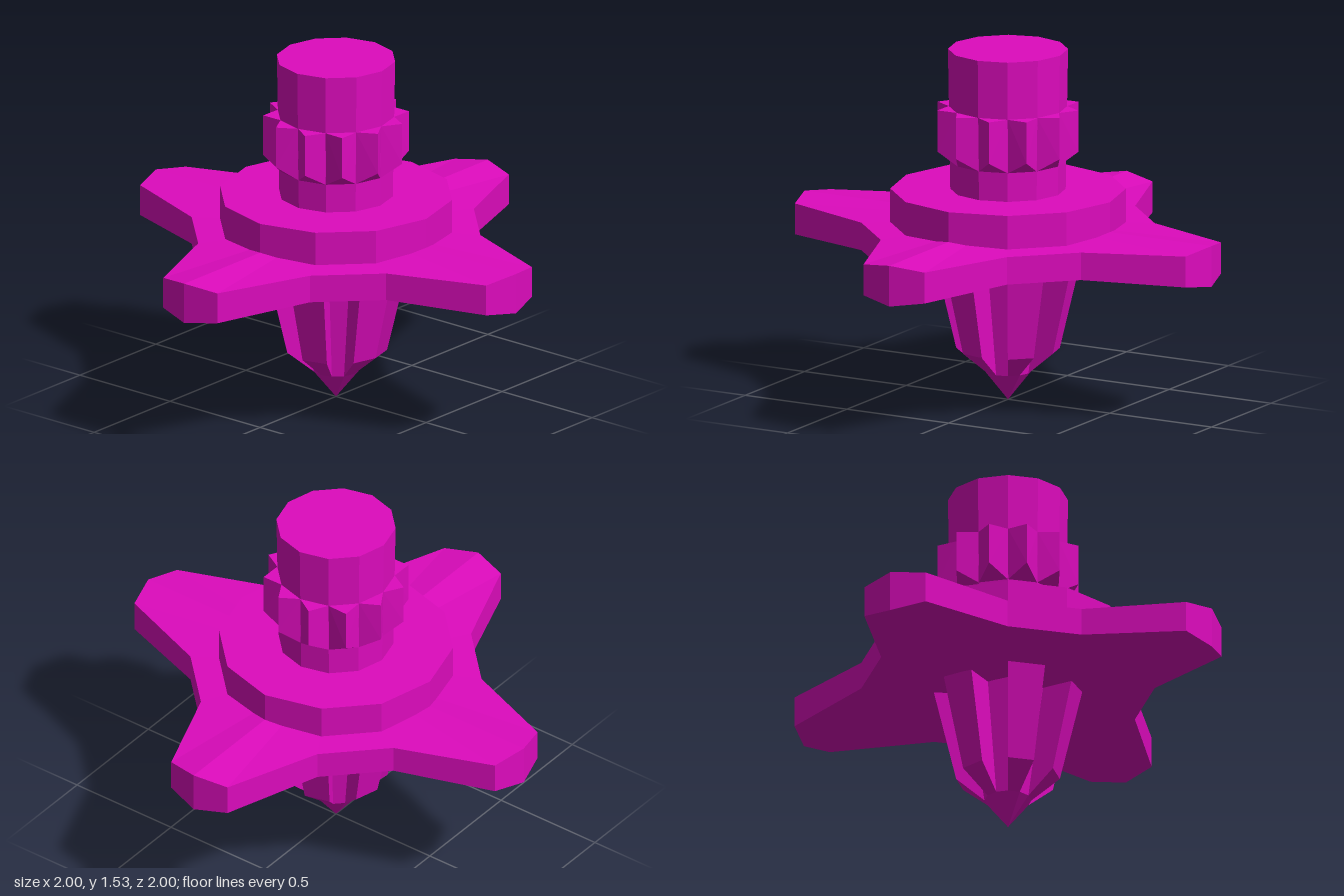
import * as THREE from 'three';
import { ConvexGeometry } from 'three/addons/geometries/ConvexGeometry.js';

const material = new THREE.MeshStandardMaterial({ color: 0xdd0bbd, flatShading: true });

// Point from an angle in degrees (0 = +z, 90 = +x), radius and height
function polar(deg, r, y) {
  const a = THREE.MathUtils.degToRad(deg);
  return new THREE.Vector3(r * Math.sin(a), y, r * Math.cos(a));
}

function addMesh(parent, name, geometry) {
  const mesh = new THREE.Mesh(geometry, material);
  mesh.name = name;
  parent.add(mesh);
  return mesh;
}

// Twelve-sided drum between two heights
function addDrum(parent, name, y0, y1, rBottom, rTop) {
  const drum = addMesh(parent, name, new THREE.CylinderGeometry(rTop, rBottom, y1 - y0, 12));
  drum.position.y = (y0 + y1) / 2;
}

// Four-armed plate: peaked rim loops joined to a centre point above and below
function plateGeometry() {
  // One quarter of the outline: x, z, top y, bottom y
  const quarter = [
    [0, 1, 0.79, 0.612], [0.15, 0.96, 0.77, 0.635], [0.31, 0.54, 0.77, 0.65],
    [0.54, 0.31, 0.77, 0.65], [0.96, 0.15, 0.77, 0.635],
  ];
  const top = [], bottom = [];
  for (let k = 0; k < 4; k++) {
    const c = [1, 0, -1, 0][k], s = [0, 1, 0, -1][k];
    for (const [x, z, yt, yb] of quarter) {
      const px = x * c + z * s, pz = z * c - x * s;
      top.push([px, yt, pz]);
      bottom.push([px, yb, pz]);
    }
  }
  const positions = [];
  const tri = (...corners) => corners.forEach((p) => positions.push(...p));
  const n = top.length;
  for (let i = 0; i < n; i++) {
    const j = (i + 1) % n;
    tri([0, 0.79, 0], top[i], top[j]);
    tri([0, 0.612, 0], bottom[j], bottom[i]);
    tri(bottom[i], bottom[j], top[j]);
    tri(bottom[i], top[j], top[i]);
  }
  const geometry = new THREE.BufferGeometry();
  geometry.setAttribute('position', new THREE.Float32BufferAttribute(positions, 3));
  geometry.computeVertexNormals();
  return geometry;
}

export function createModel() {
  const model = new THREE.Group();
  model.name = 'spinningTop';

  // Plate, disc and handle
  addMesh(model, 'armPlate', plateGeometry());
  addDrum(model, 'disc', 0.77, 0.92, 0.5, 0.5);
  addDrum(model, 'handle', 0.92, 1.53, 0.245, 0.255);

  // Toothed grip ring around the handle
  const gripRing = new THREE.Group();
  gripRing.name = 'gripRing';
  model.add(gripRing);
  for (let a = 0; a < 360; a += 30) {
    addMesh(gripRing, 'gripTooth', new ConvexGeometry([
      polar(a, 0.251, 1.28), polar(a + 30, 0.251, 1.28), polar(a + 15, 0.31, 1.28),
      polar(a, 0.246, 1.045), polar(a + 30, 0.246, 1.045), polar(a + 15, 0.31, 1.1),
    ]));
  }

  // Tapered core and pointed tip
  addDrum(model, 'core', 0.125, 0.64, 0.1, 0.175);
  addDrum(model, 'tip', 0, 0.125, 0, 0.1);

  // Six ribs on alternate faces of the core
  const ribs = new THREE.Group();
  ribs.name = 'ribs';
  model.add(ribs);
  for (let a = 0; a < 360; a += 60) {
    const corners = [];
    for (const edge of [a, a + 30]) {
      corners.push(
        polar(edge, 0.317, 0.64), polar(edge, 0.22, 0.225),
        polar(edge, 0.1, 0.125), polar(edge, 0.175, 0.64),
      );
    }
    addMesh(ribs, 'rib', new ConvexGeometry(corners));
  }

  return model;
}
